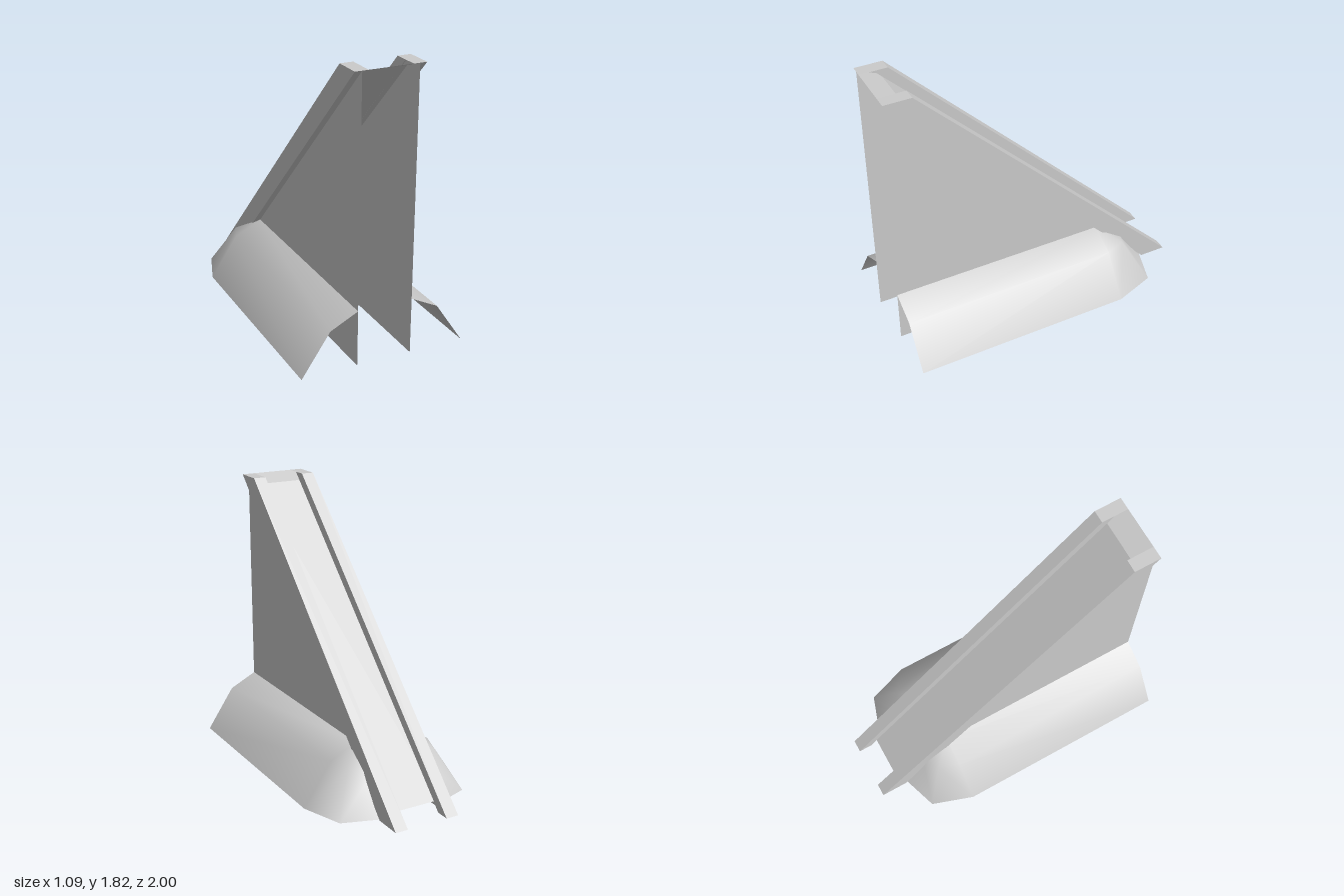
import * as THREE from 'three';
import { toCreasedNormals } from 'three/addons/utils/BufferGeometryUtils.js';

const HEIGHT = 1.82;
const material = new THREE.MeshStandardMaterial({ color: 0xcccccc, side: THREE.DoubleSide });

// Skin a grid of points: rows run towards the back, columns run towards +x
function loft(rows, crease) {
  const cols = rows[0].length;
  const index = [];
  for (let i = 0; i < rows.length - 1; i++) {
    for (let j = 0; j < cols - 1; j++) {
      const a = i * cols + j, b = a + 1, c = a + cols, d = c + 1;
      index.push(a, b, c, b, d, c);
    }
  }
  const geometry = new THREE.BufferGeometry();
  geometry.setAttribute('position', new THREE.Float32BufferAttribute(rows.flat(2), 3));
  geometry.setIndex(index);
  return toCreasedNormals(geometry, crease);
}

// Point on the 45 degree line y = z + c at height y
const onSlope = (x, c, y) => [x, y, y - c];

export function createModel() {
  const group = new THREE.Group();
  const add = (name, geometry, parent = group) => {
    const mesh = new THREE.Mesh(geometry, material);
    mesh.name = name;
    parent.add(mesh);
  };

  // Sloping plate recessed between the rails, with a lip at the top
  const plateLine = [[1.82, 1], [1.77, 0.86], [0.055, -0.86]];
  add('rampPlate', loft(plateLine.map(([y, z]) => [[-0.18, y, z], [0.18, y, z]]), 0.1));

  // Triangular side wall
  const triangle = new THREE.Shape([
    new THREE.Vector2(-1, 0), new THREE.Vector2(0.82, 0), new THREE.Vector2(-1, HEIGHT),
  ]);
  const wall = new THREE.ShapeGeometry(triangle).rotateY(Math.PI / 2).translate(0.18, 0, 0);

  // Rail: inner face, top, outer face and overhanging underside
  const section = [[0.14, 0.91], [0.14, 1], [0.225, 1], [0.225, 0.82], [0.18, 0.82]];
  const rail = loft([HEIGHT, 0].map(y => section.map(([x, c]) => onSlope(x, c, y))), 0.5);
  const cap = loft([1, 0.82].map(z => [[0.14, HEIGHT, z], [0.225, HEIGHT, z]]), 0.5);

  // Flared skirt, rounding inwards at the back
  const skirt = loft([
    [[0.18, 0.365, 1], [0.36, 0.275, 1], [0.545, 0, 1]],
    [[0.18, 0.365, -0.455], [0.36, 0.275, -0.455], [0.545, 0, -0.455]],
    [[0.18, 0.365, -0.455], [0.31, 0.275, -0.59], [0.45, 0, -0.73]],
    [[0.18, 0.365, -0.455], [0.18, 0.23, -0.65], [0.18, 0, -0.82]],
  ], 1.2);

  for (const side of [1, -1]) {
    const half = new THREE.Group();
    half.name = side > 0 ? 'leftSide' : 'rightSide';
    half.scale.x = side;
    add('sideWall', wall, half);
    add('rail', rail, half);
    add('railCap', cap, half);
    add('skirt', skirt, half);
    group.add(half);
  }
  return group;
}
